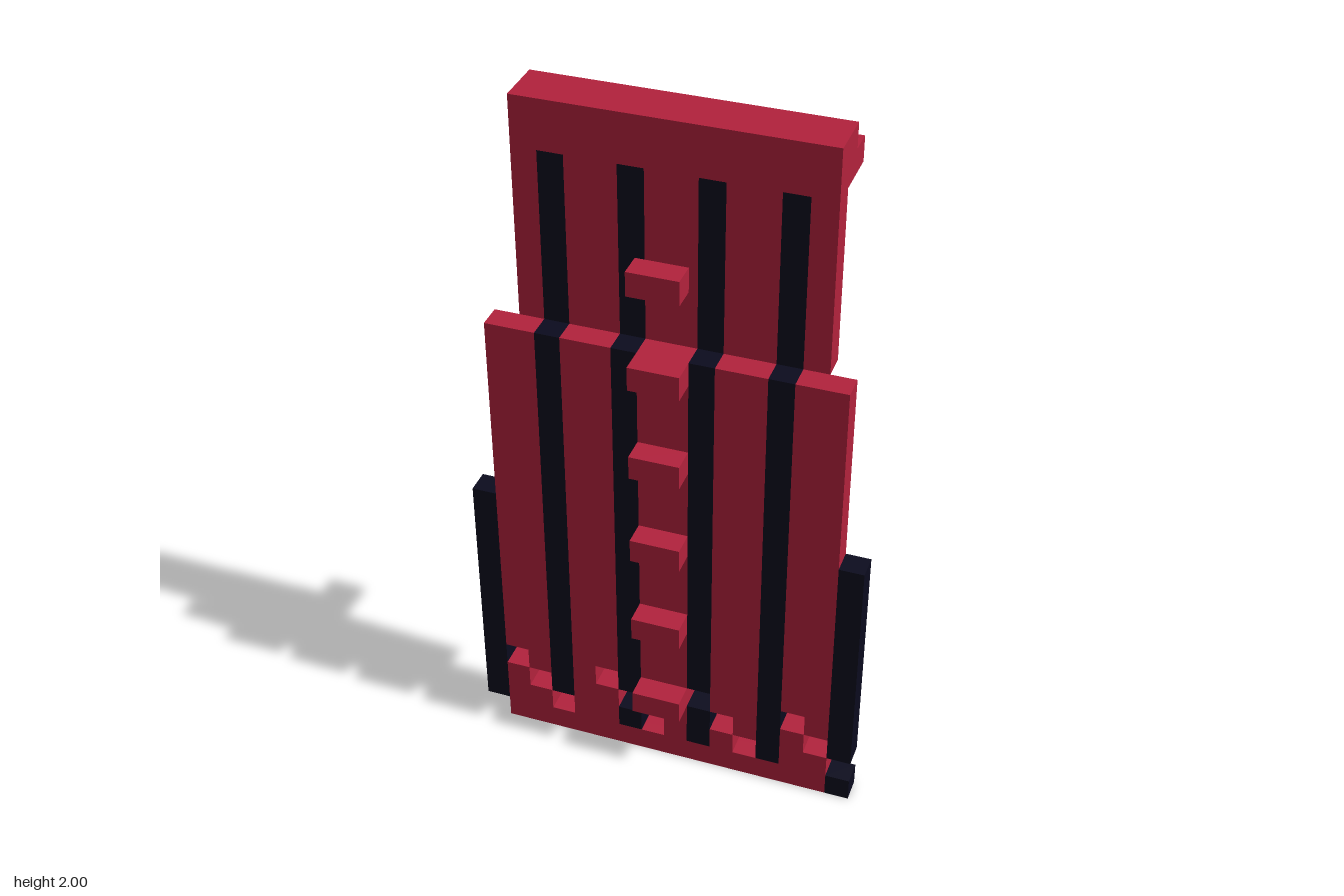
import * as THREE from 'three';

const U = 2 / 29; // one block

const red = new THREE.MeshStandardMaterial({ color: 0xb3223d });
red.name = 'crimson';
const dark = new THREE.MeshStandardMaterial({ color: 0x0b0b1e });
dark.name = 'midnight';

// Box spanning block columns x0..x1, rows y0..y1, layers z0..z1
function block(parent, name, mat, x0, x1, y0, y1, z0, z1) {
  const g = new THREE.BoxGeometry((x1 - x0) * U, (y1 - y0) * U, (z1 - z0) * U);
  const m = new THREE.Mesh(g, mat);
  m.name = name;
  m.position.set(((x0 + x1) / 2 - 8) * U, ((y0 + y1) / 2) * U, ((z0 + z1) / 2 - 2.5) * U);
  parent.add(m);
}

function group(parent, name) {
  const g = new THREE.Group();
  g.name = name;
  parent.add(g);
  return g;
}

// Widths of the slats between dark stripes, at columns 3, 6, 9 and 12
const stripes = [3, 6, 9, 12];
const slats = (left, right) => [[left, 3], [4, 6], [7, 9], [10, 12], [13, right]];

export function createModel() {
  const model = new THREE.Group();
  model.name = 'panel';

  // Lower panel: slats and stripes above a solid base
  const lower = group(model, 'lowerPanel');
  block(lower, 'base', red, 1, 15, 0, 1, 3, 4);
  for (const [a, b] of slats(1, 15)) block(lower, 'lowerSlat', red, a, b, 4, 20, 3, 4);
  for (const s of stripes) block(lower, 'lowerStripe', dark, s, s + 1, 4, 20, 3, 4);

  // Perforated band: diagonal runs of holes repeating every four columns
  const band = group(lower, 'perforatedBand');
  for (let i = 1; i < 15; i++) {
    const hole = (4 - (i % 4)) % 4; // 0 means no hole
    const mat = i % 3 === 0 ? dark : red;
    if (hole === 0) {
      block(band, 'bandColumn', mat, i, i + 1, 1, 4, 3, 4);
      continue;
    }
    if (hole > 1) block(band, 'bandBelowHole', mat, i, i + 1, 1, hole, 3, 4);
    if (hole < 3) block(band, 'bandAboveHole', mat, i, i + 1, hole + 1, 4, 3, 4);
  }

  // Side rails
  block(lower, 'rightRail', dark, 0, 1, 1, 12, 3, 4);
  block(lower, 'leftRail', dark, 15, 16, 2, 12, 3, 4);
  block(lower, 'leftRailFoot', dark, 15, 16, 0, 1, 3, 4);

  // Upper panel, set one layer back
  const upper = group(model, 'upperPanel');
  for (const [a, b] of slats(2, 14)) block(upper, 'upperSlat', red, a, b, 20, 27, 2, 3);
  for (const s of stripes) block(upper, 'upperStripe', dark, s, s + 1, 20, 27, 2, 3);

  // Top bar with a hook at each end
  block(upper, 'topBar', red, 2, 14, 27, 29, 1, 3);
  for (const x of [2, 13]) block(upper, 'hook', red, x, x + 1, 27, 28, 0, 1);

  // Column of pegs down the front
  const pegs = group(model, 'pegs');
  for (let y = 3; y <= 23; y += 4) block(pegs, 'peg', red, 7, 9, y, y + 1, 4, 5);

  return model;
}
